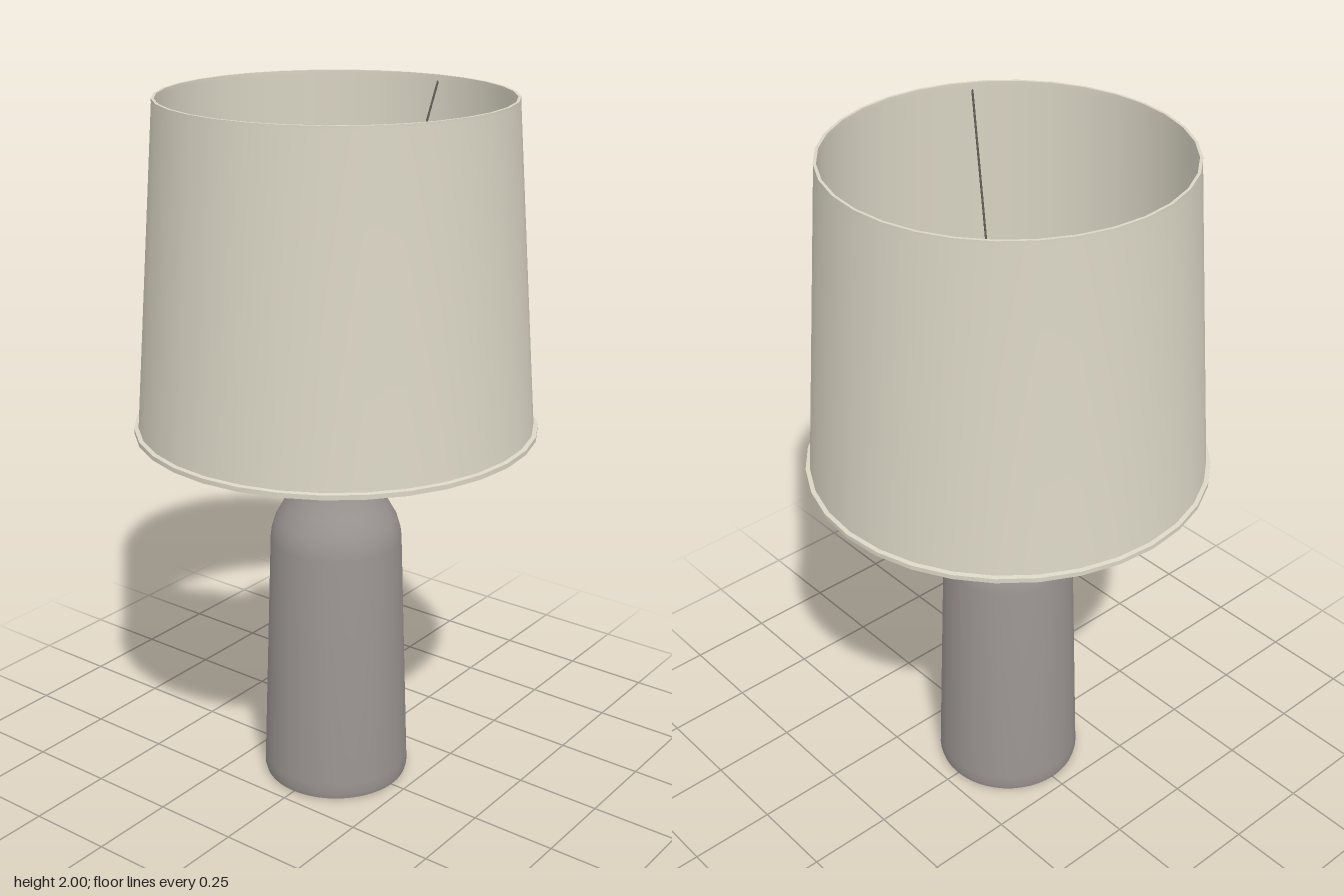
import * as THREE from 'three';
import { toCreasedNormals } from 'three/addons/utils/BufferGeometryUtils.js';

const paint = (name, color) => {
  const m = new THREE.MeshStandardMaterial({ color });
  m.name = name;
  return m;
};

export function createModel() {
  const cream = paint('cream fabric', 0xdad5c4);
  const stone = paint('grey ceramic', 0x9a9491);
  const black = paint('black plastic', 0x121212);
  const metal = paint('dark metal', 0x5c5956);

  const lamp = new THREE.Group();
  lamp.name = 'tableLamp';

  const add = (name, geometry, material, parent = lamp) => {
    const mesh = new THREE.Mesh(geometry, material);
    mesh.name = name;
    parent.add(mesh);
    return mesh;
  };
  // Turned part from [radius, height] pairs, sharp only at strong edges
  const turned = (name, profile, material, sides, parent) => {
    const points = profile.map(([r, y]) => new THREE.Vector2(r, y));
    const geometry = new THREE.LatheGeometry(points, sides);
    return add(name, toCreasedNormals(geometry, 0.6), material, parent);
  };

  // Bottle-shaped base
  turned('base', [
    [0, 0], [0.2, 0], [0.209, 0.004], [0.213, 0.018], [0.212, 0.05],
    [0.188, 0.75], [0.185, 0.775], [0.175, 0.81], [0.15, 0.855],
    [0.128, 0.893], [0.117, 0.918], [0.112, 0.938], [0.112, 0.958], [0, 0.958],
  ], stone, 48);

  // Stem rising out of the neck
  add('stem', new THREE.CylinderGeometry(0.037, 0.037, 0.18, 24), black).position.y = 1.04;

  // Thin-walled shade with a flange below and a rolled lip above
  turned('shade', [
    [0.54, 1.09], [0.561, 1.09], [0.561, 1.103], [0.549, 1.105], [0.48, 1.99],
    [0.48, 2], [0.472, 2], [0.472, 1.988], [0.54, 1.1], [0.54, 1.09],
  ], cream, 32);

  // Fitter hub carrying the shade
  const fitter = new THREE.Group();
  fitter.name = 'fitter';
  lamp.add(fitter);
  turned('fitterRing', [
    [0.085, 1.262], [0.124, 1.262], [0.124, 1.274], [0.085, 1.274], [0.085, 1.262],
  ], cream, 40, fitter);

  // Ribbed collar tapering up to an open socket
  const ribs = [[0.05, 1.256], [0.1, 1.256], [0.1, 1.3]];
  for (let i = 0; i < 8; i++) {
    const r = 0.094 - i * 0.004, y = 1.3 + i * 0.018;
    ribs.push([r, y], [r, y + 0.012], [r - 0.004, y + 0.014]);
  }
  ribs.push([0.052, 1.445], [0.05, 1.256]);
  turned('socketCollar', ribs, black, 32, fitter);
  turned('socketLiner', [
    [0.044, 1.25], [0.05, 1.25], [0.05, 1.43], [0.044, 1.43], [0.044, 1.25],
  ], metal, 32, fitter);
  add('socketFloor', new THREE.CylinderGeometry(0.045, 0.045, 0.02, 32), cream, fitter)
    .position.y = 1.265;

  // Rotary switch on the left of the hub
  const switchPart = new THREE.Group();
  switchPart.name = 'switch';
  switchPart.position.set(0.1, 1.22, 0);
  fitter.add(switchPart);
  const shaft = add('switchShaft', new THREE.CylinderGeometry(0.01, 0.01, 0.06, 12), black, switchPart);
  shaft.rotation.z = Math.PI / 2;
  shaft.position.x = 0.01;
  const knob = add('switchKnob', new THREE.CylinderGeometry(0.025, 0.025, 0.022, 16), black, switchPart);
  knob.rotation.z = Math.PI / 2;
  knob.position.x = 0.043;
  add('switchBracket', new THREE.BoxGeometry(0.02, 0.06, 0.03), black, switchPart).position.set(-0.01, 0.02, 0);

  // Three wires sloping from the hub up to the top lip
  [0, 120, 235].forEach((degrees) => {
    const a = THREE.MathUtils.degToRad(degrees);
    const at = (r, y) => new THREE.Vector3(r * Math.cos(a), y, r * Math.sin(a));
    const wire = new THREE.LineCurve3(at(0.122, 1.268), at(0.476, 1.985));
    add('shadeWire', new THREE.TubeGeometry(wire, 1, 0.003, 8), metal, fitter);
  });

  return lamp;
}
